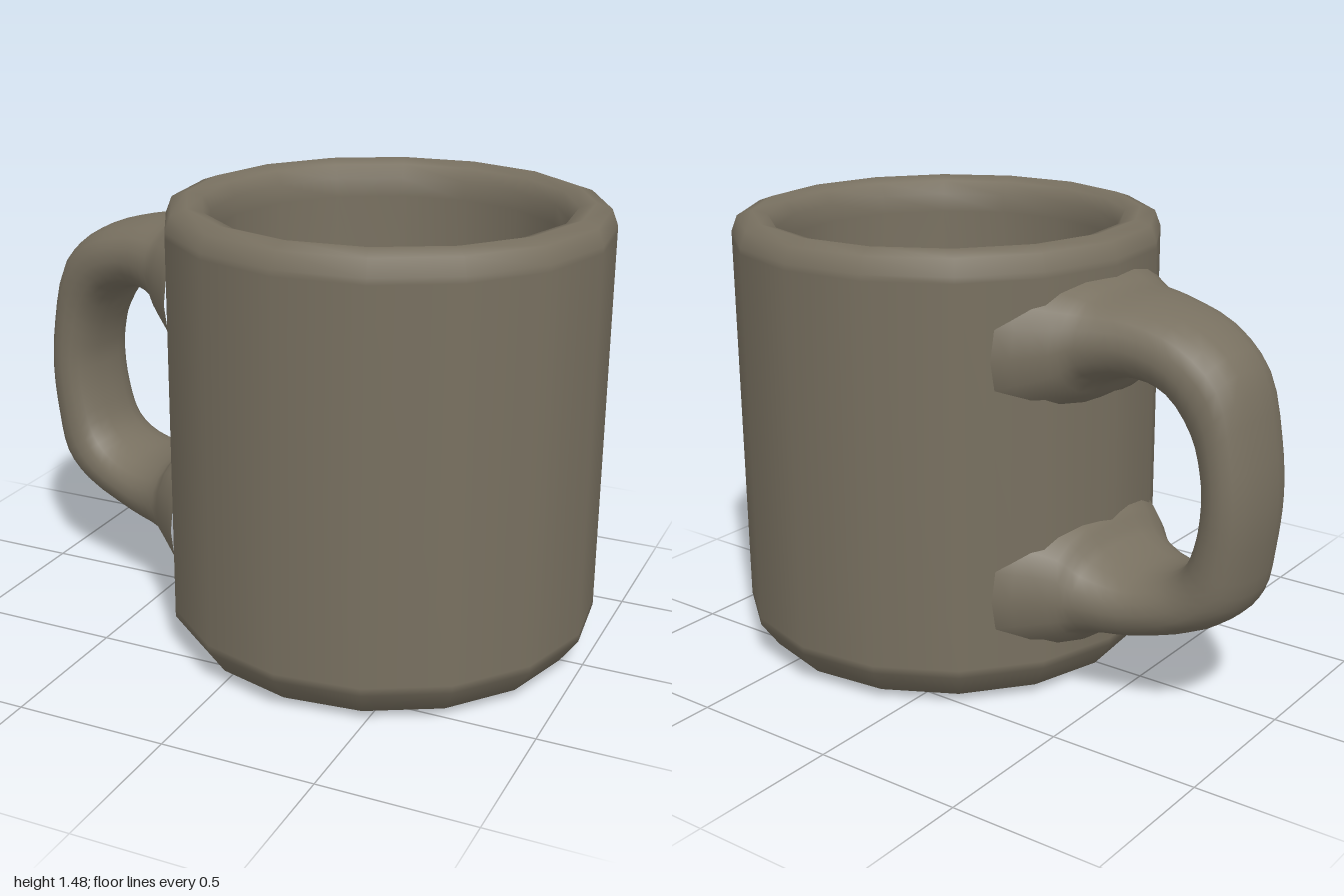
import * as THREE from 'three';

const BODY_X = 0.29;
const TURN = 0.09;

// Handle stations: outer x, outer y, inner x, inner y, half width
const STATIONS = [
  [-0.28, 1.40, -0.28, 0.90, 0.42],
  [-0.41, 1.36, -0.41, 0.98, 0.31],
  [-0.47, 1.335, -0.47, 1.05, 0.265],
  [-0.60, 1.32, -0.60, 1.08, 0.215],
  [-0.78, 1.27, -0.72, 1.04, 0.19],
  [-0.92, 1.16, -0.79, 0.93, 0.17],
  [-0.98, 0.95, -0.82, 0.83, 0.165],
  [-1.00, 0.75, -0.825, 0.76, 0.165],
  [-0.985, 0.57, -0.81, 0.65, 0.165],
  [-0.95, 0.42, -0.77, 0.54, 0.17],
  [-0.85, 0.33, -0.70, 0.48, 0.185],
  [-0.62, 0.245, -0.60, 0.46, 0.215],
  [-0.47, 0.215, -0.47, 0.50, 0.265],
  [-0.41, 0.17, -0.41, 0.57, 0.31],
  [-0.28, 0.11, -0.28, 0.63, 0.42],
];

// Rounded-box cross-sections lofted between the outer and inner curves
function handleGeometry(steps = 42, sides = 20) {
  const curve = (f) => new THREE.CatmullRomCurve3(STATIONS.map(f));
  const outer = curve((s) => new THREE.Vector3(s[0] - BODY_X, s[1], s[4]));
  const inner = curve((s) => new THREE.Vector3(s[2] - BODY_X, s[3], s[4]));
  const soft = (v) => Math.sign(v) * Math.pow(Math.abs(v), 0.85);
  const positions = [];
  const index = [];
  for (let i = 0; i <= steps; i++) {
    const o = outer.getPoint(i / steps);
    const n = inner.getPoint(i / steps);
    for (let j = 0; j < sides; j++) {
      const a = (j / sides) * Math.PI * 2;
      const k = (soft(Math.cos(a)) + 1) / 2;
      positions.push(
        THREE.MathUtils.lerp(n.x, o.x, k),
        THREE.MathUtils.lerp(n.y, o.y, k),
        soft(Math.sin(a)) * o.z,
      );
      if (i < steps) {
        const p = i * sides + j;
        const q = i * sides + ((j + 1) % sides);
        index.push(p, p + sides, q, q, p + sides, q + sides);
      }
    }
  }
  const geometry = new THREE.BufferGeometry();
  geometry.setAttribute('position', new THREE.Float32BufferAttribute(positions, 3));
  geometry.setIndex(index);
  geometry.computeVertexNormals();
  return geometry;
}

export function createModel() {
  const clay = new THREE.MeshStandardMaterial({ color: 0x787060 });
  clay.name = 'grey brown clay';

  const mug = new THREE.Group();
  mug.name = 'mug';

  // Sixteen-sided body: underside, outer wall, rim, inner wall and rounded floor
  const profile = [
    [0, 0], [0.48, 0.003], [0.65, 0.03], [0.71, 0.115], [0.71, 0.14],
    [0.71, 1.39], [0.71, 1.41], [0.69, 1.462], [0.64, 1.48],
    [0.59, 1.465], [0.565, 1.42], [0.56, 1.36], [0.555, 0.40],
    [0.50, 0.24], [0.36, 0.15], [0, 0.12],
  ].map(([r, y]) => new THREE.Vector2(r, y));
  const body = new THREE.Mesh(
    new THREE.LatheGeometry(profile, 16, THREE.MathUtils.degToRad(17.5)), clay);
  body.name = 'body';
  body.position.x = BODY_X;
  mug.add(body);

  // Handle, turned slightly towards the back around the body axis
  const handle = new THREE.Mesh(handleGeometry(), clay);
  handle.name = 'handle';
  handle.position.x = BODY_X;
  handle.rotation.y = -TURN;
  mug.add(handle);

  return mug;
}
